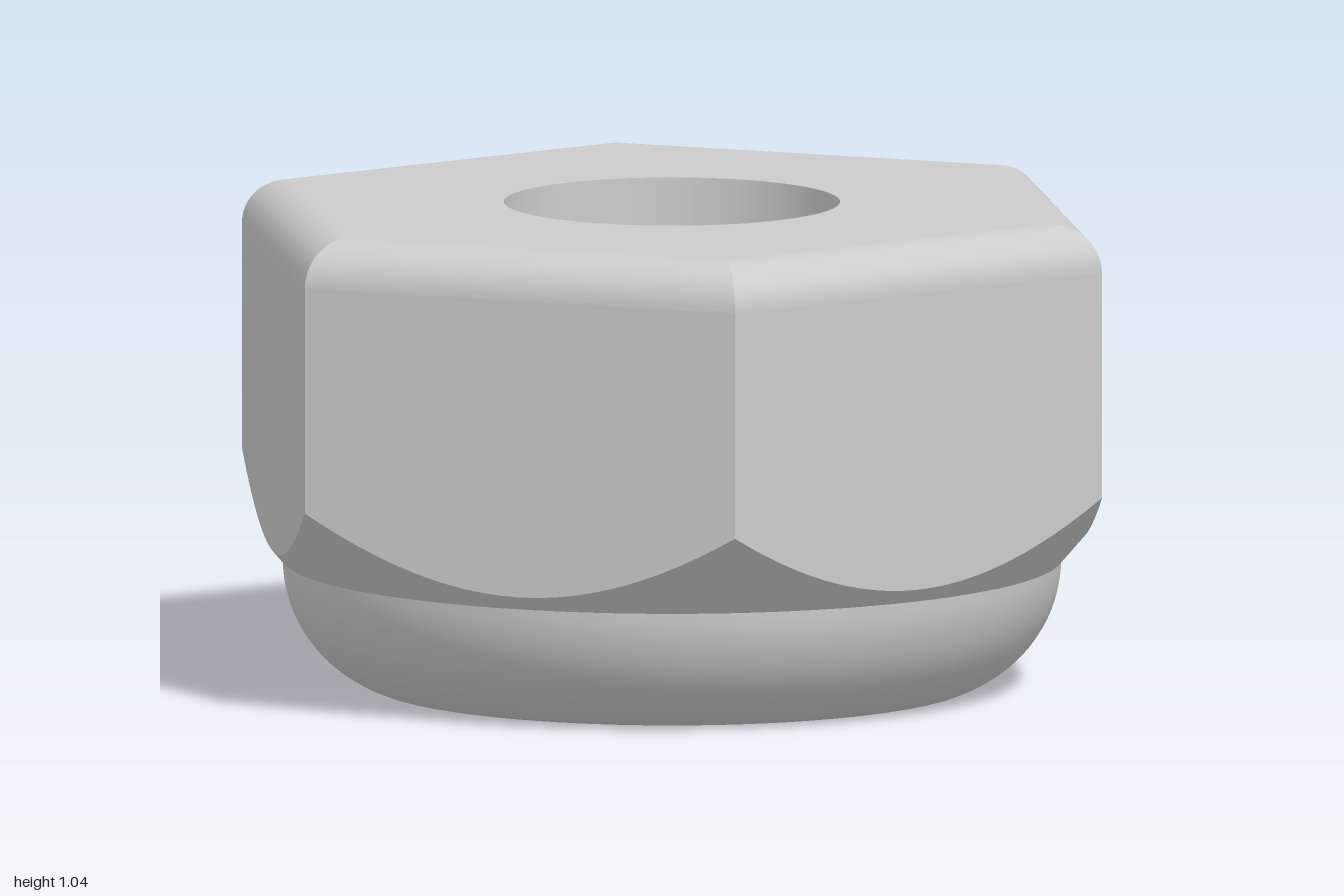
import * as THREE from 'three';
import { mergeGeometries } from 'three/addons/utils/BufferGeometryUtils.js';

const APOTHEM = Math.sqrt(3) / 2, TOP = 1.045, FILLET = 0.1, BORE = 0.362;
const COLLAR_TOP = 0.27, CHAMFER_R = 0.84, CHAMFER_SLOPE = 1.157, SEAT = 0.09;
const material = new THREE.MeshStandardMaterial({ color: 0xcccccc });

// Surface on a grid: u runs counter-clockwise seen from above, v runs upwards
function patch(nu, nv, point) {
  const pos = [], index = [];
  for (let j = 0; j <= nv; j++)
    for (let i = 0; i <= nu; i++) pos.push(...point(i / nu, j / nv));
  for (let j = 0; j < nv; j++)
    for (let i = 0; i < nu; i++) {
      const a = j * (nu + 1) + i, b = a + 1, d = a + nu + 1, c = d + 1;
      index.push(a, b, c, a, c, d);
    }
  const g = new THREE.BufferGeometry();
  g.setAttribute('position', new THREE.Float32BufferAttribute(pos, 3));
  g.setIndex(index);
  g.computeVertexNormals();
  return g;
}

// Point on side k of the unit hexagon
function hexPoint(k, u) {
  const a = k * Math.PI / 3, b = a + Math.PI / 3;
  return [
    Math.cos(a) * (1 - u) + Math.cos(b) * u,
    -Math.sin(a) * (1 - u) - Math.sin(b) * u,
  ];
}

// Height at which the conical chamfer meets radius r
const chamferY = (r) => COLLAR_TOP + (r - CHAMFER_R) * CHAMFER_SLOPE;

export function createModel() {
  const group = new THREE.Group();
  const add = (name, geometry) => {
    const mesh = new THREE.Mesh(geometry, material);
    mesh.name = name;
    group.add(mesh);
  };
  const sides = (make) => mergeGeometries([0, 1, 2, 3, 4, 5].map(make));
  const lathe = (points) =>
    new THREE.LatheGeometry(points.map(([r, y]) => new THREE.Vector2(r, y)), 96);

  // Six flats with scalloped lower edges
  add('hexFlats', sides((k) => patch(24, 1, (u, v) => {
    const [x, z] = hexPoint(k, u);
    const low = chamferY(Math.hypot(x, z));
    return [x, low + (TOP - FILLET - low) * v, z];
  })));

  // Rounded upper edges, mitred at the corners
  add('topFillets', sides((k) => patch(1, 12, (u, v) => {
    const [x, z] = hexPoint(k, u), t = v * Math.PI / 2;
    const s = 1 - FILLET * (1 - Math.cos(t)) / APOTHEM;
    return [x * s, TOP - FILLET + FILLET * Math.sin(t), z * s];
  })));

  // Conical chamfer below the flats
  add('chamfer', sides((k) => patch(24, 1, (u, v) => {
    const [x, z] = hexPoint(k, u), h = Math.hypot(x, z);
    const r = CHAMFER_R + (h - CHAMFER_R) * v;
    return [x / h * r, chamferY(r), z / h * r];
  })));

  // Flat top with the bore opening
  const inner = 1 - FILLET / APOTHEM;
  const shape = new THREE.Shape([0, 1, 2, 3, 4, 5].map((k) => {
    const a = k * Math.PI / 3;
    return new THREE.Vector2(Math.cos(a) * inner, Math.sin(a) * inner);
  }));
  shape.holes.push(new THREE.Path().absarc(0, 0, BORE, 0, Math.PI * 2, true));
  add('topFace', new THREE.ShapeGeometry(shape, 48).rotateX(-Math.PI / 2).translate(0, TOP, 0));

  add('bore', lathe([[BORE, TOP], [BORE, SEAT]]));

  // Recessed insert face at the bottom
  add('insertFace', lathe([[BORE, SEAT], [0.593, SEAT]]));

  // Rolled collar: inner lip, then an arc ending upright under the chamfer
  const lip = new THREE.QuadraticBezierCurve(
    new THREE.Vector2(0.593, SEAT), new THREE.Vector2(0.6, 0.01), new THREE.Vector2(0.652, 0));
  const collar = lip.getPoints(8).map((p) => [p.x, p.y]);
  const cx = 0.5485, R = 0.2895, start = -Math.acos((0.652 - cx) / R);
  for (let i = 1; i <= 16; i++) {
    const t = start * (1 - i / 16);
    collar.push([cx + R * Math.cos(t), COLLAR_TOP + R * Math.sin(t)]);
  }
  add('collar', lathe(collar));
  add('collarStep', lathe([[cx + R, COLLAR_TOP], [CHAMFER_R, COLLAR_TOP]]));

  return group;
}
